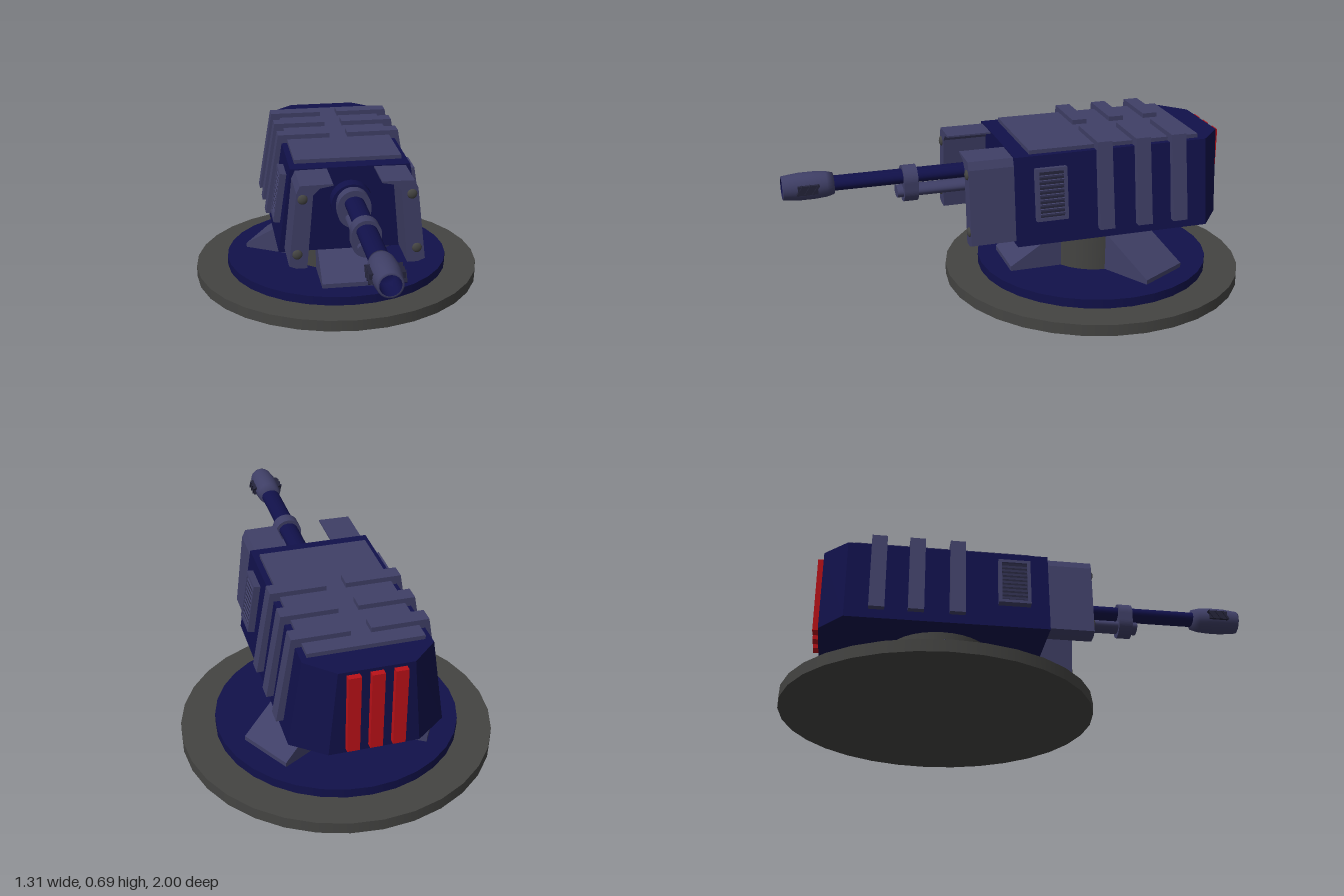
import * as THREE from 'three';

const mat = (color, extra = {}) => new THREE.MeshStandardMaterial({ color, ...extra });
const navy = mat(0x11114a), panel = mat(0x3f3f66), grey = mat(0x444442), red = mat(0xbb1118);
const dark = mat(0x24243a), hollow = mat(0x11114a, { side: THREE.DoubleSide });
const CZ = -0.345; // turntable centre

export function createModel() {
  const root = new THREE.Group();
  root.name = 'turret';

  const add = (name, geo, material, x = 0, y = 0, z = 0, parent = root) => {
    const m = new THREE.Mesh(geo, material);
    m.name = name;
    m.position.set(x, y, z);
    parent.add(m);
    return m;
  };
  const box = (w, h, d) => new THREE.BoxGeometry(w, h, d);
  const extrude = (pts, depth, mirror = 1) => new THREE.ExtrudeGeometry(
    new THREE.Shape(pts.map(([x, y]) => new THREE.Vector2(x * mirror, y))),
    { depth, bevelEnabled: false });
  // cylinder along z between z0 and z1, optionally widened in x
  const rod = (name, r, z0, z1, y, material, widen = 1) => {
    const g = new THREE.CylinderGeometry(r, r, z1 - z0, 24).rotateX(Math.PI / 2).scale(widen, 1, 1);
    return add(name, g, material, 0, y, (z0 + z1) / 2);
  };

  // Base discs and pedestal
  const disc = (name, r, y0, y1, material) =>
    add(name, new THREE.CylinderGeometry(r, r, y1 - y0, 32), material, 0, (y0 + y1) / 2, CZ);
  disc('baseDisc', 0.655, 0, 0.05, grey);
  disc('turntable', 0.51, 0.05, 0.09, navy);
  disc('pedestal', 0.218, 0.09, 0.3, grey);

  // Three sloped braces around the pedestal
  for (let i = 0; i < 3; i++) {
    const g = extrude([[0.12, 0.09], [0.41, 0.09], [0.41, 0.11], [0.15, 0.28], [0.12, 0.28]], 0.24);
    g.translate(0, 0, -0.12);
    add('brace', g, panel, 0, 0, CZ).rotation.y = -Math.PI / 2 + i * Math.PI * 2 / 3;
  }

  // Housing: plan outline extruded upward, narrowing toward the top
  const housing = extrude([[-0.31, -0.09], [0.31, -0.09], [0.31, 0.755], [0.18, 0.855],
    [-0.18, 0.855], [-0.31, 0.755]], 0.37).rotateX(-Math.PI / 2);
  const p = housing.attributes.position;
  for (let i = 0; i < p.count; i++) {
    p.setX(i, p.getX(i) * (1 - 0.178 * p.getY(i) / 0.37));
    p.setZ(i, p.getZ(i));
  }
  housing.computeVertexNormals();
  add('housing', housing, navy, 0, 0.288, 0);
  add('roofPlate', box(0.46, 0.03, 0.75), panel, 0, 0.66, -0.355);

  // Parts repeated on both sides
  for (const s of [1, -1]) {
    for (const z of [-0.295, -0.465, -0.625]) {
      const strap = extrude([[0.04, 0.65], [0.04, 0.695], [0.27, 0.695], [0.333, 0.33],
        [0.295, 0.33], [0.245, 0.65]], 0.065, s);
      add('strap', strap, panel, 0, 0, z - 0.0325);
    }

    // Side vent with slats, leaning with the housing wall
    const vent = new THREE.Group();
    vent.name = 'sideVent';
    vent.position.set(s * 0.284, 0.5, -0.058);
    vent.rotation.z = s * 0.148;
    root.add(vent);
    add('ventBack', box(0.03, 0.21, 0.125), dark, 0, 0, 0, vent);
    for (const e of [1, -1]) {
      add('ventFrame', box(0.045, 0.014, 0.135), panel, 0, e * 0.103, 0, vent);
      add('ventFrame', box(0.045, 0.22, 0.014), panel, 0, 0, e * 0.0605, vent);
    }
    for (let i = 0; i < 9; i++) {
      const slat = add('ventSlat', box(0.025, 0.009, 0.108), panel, s * 0.007, -0.08 + i * 0.02, 0, vent);
      slat.rotation.z = -s * 0.4;
    }

    // Front cheek plate bending inward at the top
    const cheek = extrude([[0.255, 0.292], [0.285, 0.305], [0.25, 0.62], [0.235, 0.653], [0.1, 0.655],
      [0.1, 0.648], [0.155, 0.638], [0.182, 0.61], [0.21, 0.292]], 0.19, s);
    add('cheekPlate', cheek, panel, 0, 0, 0.09);
    for (const [x, y] of [[0.225, 0.595], [0.25, 0.355]]) {
      add('bolt', new THREE.SphereGeometry(0.021, 16, 10).scale(1, 1, 0.5), grey, s * x, y, 0.28);
    }

    // Muzzle side vents
    add('muzzleVentPlate', box(0.022, 0.038, 0.08), dark, s * 0.055, 0.537, 0.9);
    for (let i = -1; i <= 1; i++) {
      add('muzzleSlat', box(0.02, 0.045, 0.009), dark, s * 0.06, 0.537, 0.9 + i * 0.032).rotation.x = -0.6;
    }
  }

  // Gun: mount, barrel, recoil tube
  rod('gunMount', 0.09, 0.08, 0.15, 0.51, navy);
  rod('barrel', 0.03, 0.09, 0.82, 0.535, navy, 1.4);
  rod('recoilTube', 0.025, 0.09, 0.53, 0.47, panel, 1.6);

  // Rounded collars that tie barrel and recoil tube together
  const collar = (r, top, bottom, z0, z1) => {
    const shape = new THREE.Shape();
    shape.absarc(0, top - r, r, 0, Math.PI);
    shape.absarc(0, bottom + r, r, Math.PI, Math.PI * 2);
    const g = new THREE.ExtrudeGeometry(shape, { depth: z1 - z0, bevelEnabled: false, curveSegments: 16 });
    add('collar', g, panel, 0, 0, z0);
  };
  collar(0.06, 0.58, 0.425, 0.445, 0.505);
  collar(0.07, 0.59, 0.425, 0.14, 0.2);

  // Hollow muzzle brake
  const outer = [[0, 0.79], [0.045, 0.79], [0.053, 0.82], [0.057, 0.87], [0.057, 0.93],
    [0.05, 0.995], [0.048, 1], [0.041, 1]].map(([r, z]) => new THREE.Vector2(r, z));
  add('muzzle', new THREE.LatheGeometry(outer, 24).rotateX(Math.PI / 2),
    mat(0x3f3f66, { side: THREE.DoubleSide }), 0, 0.535, 0);
  const bore = [[0.041, 1], [0.039, 0.9], [0, 0.9]].map(([r, z]) => new THREE.Vector2(r, z));
  add('bore', new THREE.LatheGeometry(bore, 24).rotateX(Math.PI / 2), hollow, 0, 0.535, 0);

  // Rear light bars
  for (const x of [-0.09, 0, 0.09]) {
    add('rearLight', box(0.05, 0.335, 0.04), red, x, 0.477, -0.86);
  }
  return root;
}
